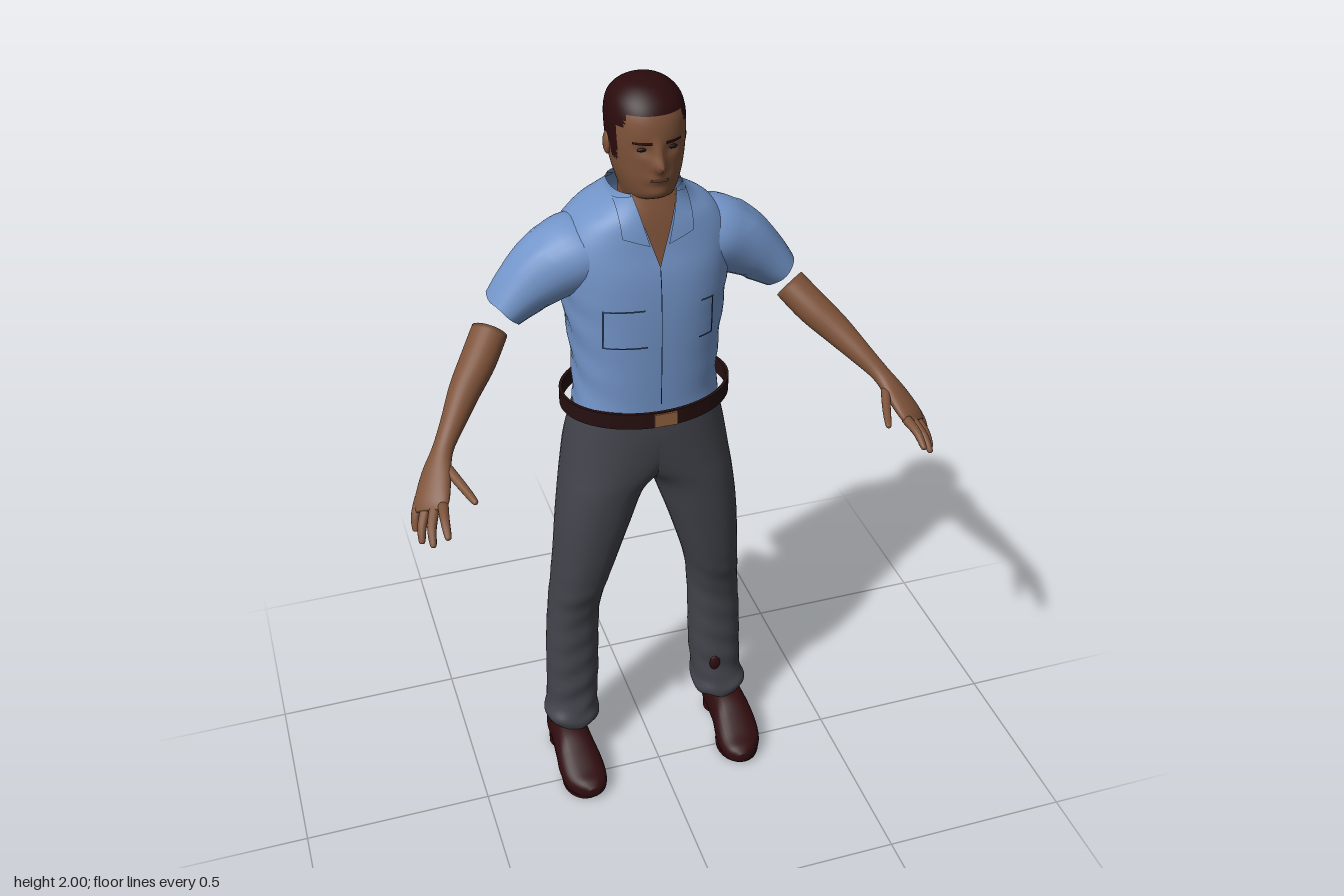
import * as THREE from 'three';

const mat = (name, color, side = THREE.FrontSide) => {
  const m = new THREE.MeshStandardMaterial({ color, side });
  m.name = name;
  return m;
};

// Catmull-Rom interpolation of rows of numbers
function smooth(rows, k) {
  const out = [], last = rows.length - 1;
  const at = i => rows[Math.max(0, Math.min(last, i))];
  for (let i = 0; i < last; i++) for (let s = 0; s < k; s++) {
    const t = s / k;
    out.push(rows[i].map((p1, c) => {
      const p0 = at(i - 1)[c], p2 = at(i + 1)[c], p3 = at(i + 2)[c];
      return 0.5 * (2 * p1 + (p2 - p0) * t + (2 * p0 - 5 * p1 + 4 * p2 - p3) * t * t
        + (3 * p1 - p0 - 3 * p2 + p3) * t * t * t);
    }));
  }
  out.push(rows[last]);
  return out;
}

// Skin through rows [x, y, z, halfWide, halfThick]; wide is the direction of halfWide
function loft(rows, { wide = [1, 0, 0], axis = null, n = 2, seg = 28, k = 5, caps = true } = {}) {
  const rs = smooth(rows, k), pos = [], idx = [], m = rs.length;
  const pow = c => Math.sign(c) * Math.abs(c) ** (2 / n);
  const P = rs.map(r => new THREE.Vector3(r[0], r[1], r[2]));
  rs.forEach((r, i) => {
    const T = axis ? new THREE.Vector3(...axis)
      : P[Math.min(m - 1, i + 1)].clone().sub(P[Math.max(0, i - 1)]).normalize();
    const U = new THREE.Vector3(...wide);
    U.addScaledVector(T, -U.dot(T)).normalize();
    const V = T.clone().cross(U);
    for (let j = 0; j < seg; j++) {
      const a = j / seg * Math.PI * 2;
      pos.push(...P[i].clone().addScaledVector(U, r[3] * pow(Math.cos(a))).addScaledVector(V, r[4] * pow(Math.sin(a))));
    }
  });
  for (let i = 0; i < m - 1; i++) for (let j = 0; j < seg; j++) {
    const a = i * seg + j, b = i * seg + (j + 1) % seg, c = a + seg, d = b + seg;
    idx.push(a, b, c, b, d, c);
  }
  if (caps) {
    pos.push(...P[0], ...P[m - 1]);
    const e = m * seg, f = (m - 1) * seg;
    for (let j = 0; j < seg; j++) {
      const q = (j + 1) % seg;
      idx.push(e, q, j, e + 1, f + j, f + q);
    }
  }
  return geo(pos, idx);
}

function geo(pos, idx) {
  const g = new THREE.BufferGeometry();
  g.setAttribute('position', new THREE.Float32BufferAttribute(pos, 3));
  g.setIndex(idx);
  g.computeVertexNormals();
  return g;
}

// Move vertices by a rule
function reshape(g, fn) {
  const p = g.attributes.position, v = new THREE.Vector3();
  for (let i = 0; i < p.count; i++) {
    v.fromBufferAttribute(p, i);
    fn(v);
    p.setXYZ(i, v.x, v.y, v.z);
  }
  g.computeVertexNormals();
  return g;
}

function mirrored(g) {
  const h = g.clone().scale(-1, 1, 1), ix = h.index.array;
  for (let i = 0; i < ix.length; i += 3) [ix[i], ix[i + 1]] = [ix[i + 1], ix[i]];
  h.computeVertexNormals();
  return h;
}

// Upright section [y, x0, x1, zFront, zBack] to a loft row
const upright = ([y, x0, x1, zf, zb]) => [(x0 + x1) / 2, y, (zf + zb) / 2, (x1 - x0) / 2, (zf - zb) / 2];
const sym = ([y, w, zf, zb]) => upright([y, -w, w, zf, zb]);
const UP = [0, 1, 0];

// Front surface depth of a centred upright loft
function frontOf(rows, n) {
  const rs = smooth(rows, 8);
  return (x, y) => {
    let i = 0;
    while (i < rs.length - 2 && rs[i + 1][1] < y) i++;
    const t = Math.max(0, Math.min(1, (y - rs[i][1]) / (rs[i + 1][1] - rs[i][1])));
    const r = rs[i].map((v, c) => v + (rs[i + 1][c] - v) * t);
    return r[2] + r[4] * Math.max(0, 1 - Math.abs(x / r[3]) ** n) ** (1 / n);
  };
}

// Thin patch laid on a front surface; corners: bottom left, bottom right, top right, top left
function patch(front, [a, b, c, d], off, N = 10) {
  const pos = [], idx = [], mix = (p, q, t) => p + (q - p) * t;
  for (let i = 0; i <= N; i++) for (let j = 0; j <= N; j++) {
    const [x, y] = [0, 1].map(e => mix(mix(a[e], b[e], j / N), mix(d[e], c[e], j / N), i / N));
    pos.push(x, y, front(x, y) + off);
    if (i < N && j < N) {
      const o = i * (N + 1) + j;
      idx.push(o, o + 1, o + N + 1, o + 1, o + N + 2, o + N + 1);
    }
  }
  return geo(pos, idx);
}

export function createModel() {
  const root = new THREE.Group();
  root.name = 'standingMan';
  const D = THREE.DoubleSide;
  const shirt = mat('shirtBlue', 0x7395c9, D), trousers = mat('trouserGrey', 0x43444c, D);
  const skin = mat('skin', 0x7d5239, D), hair = mat('hair', 0x2a0b0d), shoe = mat('shoeLeather', 0x300d10);
  const beltMat = mat('beltLeather', 0x260f0f, D), brass = mat('buckle', 0x90603f);
  const lip = mat('lips', 0x643b2c, D), eye = mat('eyes', 0x1c1210), seam = mat('seam', 0x34486a, D);
  const add = (name, g, m) => {
    const mesh = new THREE.Mesh(g, m);
    mesh.name = name;
    root.add(mesh);
    return mesh;
  };
  const pair = (name, g, m) => {
    add(name + 'Left', g, m);
    add(name + 'Right', mirrored(g), m);
  };
  const bump = (v, x, y, sx, sy, amp) => amp * Math.exp(-(((v.x - x) / sx) ** 2) - ((v.y - y) / sy) ** 2);

  // Shirt body with soft folds and a groove down the back
  const torsoRows = [[1.175, .183, .015, -.25], [1.22, .177, .016, -.258], [1.32, .18, .02, -.268], [1.45, .195, .022, -.28],
    [1.55, .208, .016, -.283], [1.62, .208, .002, -.278], [1.675, .17, -.008, -.262], [1.71, .118, -.016, -.238],
    [1.735, .092, -.024, -.212], [1.752, .084, -.03, -.2]].map(sym);
  const chest = frontOf(torsoRows, 2.5);
  add('shirtBody', reshape(loft(torsoRows, { axis: UP, n: 2.5, seg: 64, caps: false }), v => {
    if (v.z < -.15) v.z += bump(v, 0, 1.5, .03, .16, .014) + Math.sin(v.x * 45 + v.y * 9) * .003;
    v.x *= 1 + .012 * Math.sin(v.y * 60 + v.z * 25) * (v.y < 1.5 ? 1 : 0);
  }), shirt);
  pair('sleeve', reshape(loft([[.10, 1.60, -.13, .10, .07], [.17, 1.585, -.13, .105, .09], [.24, 1.55, -.128, .087, .082],
    [.30, 1.505, -.125, .072, .065], [.345, 1.465, -.122, .064, .049]], { wide: [0, 0, 1], caps: false }), v => {
    if (v.x > .25) v.y += Math.sin(v.z * 70) * .005;
  }), shirt);

  // Open neckline, collar, front seam and pocket stitching
  add('openNeck', patch(chest, [[0, 1.585], [0, 1.585], [.055, 1.752], [-.055, 1.752]], .004), skin);
  pair('collar', patch(chest, [[.022, 1.64], [.085, 1.662], [.088, 1.738], [.052, 1.752]], .01), shirt);
  const strip = (name, x0, y0, x1, y1) => add(name, patch(chest, [[x0, y0], [x1, y0], [x1, y1], [x0, y1]], .004), seam);
  strip('pocketSideRight', -.137, 1.385, -.133, 1.487);
  strip('pocketTopRight', -.137, 1.483, -.04, 1.487);
  strip('pocketBaseRight', -.137, 1.385, -.035, 1.389);
  strip('pocketSideLeft', .13, 1.385, .134, 1.487);
  strip('pocketTopLeft', .1, 1.483, .134, 1.487);
  strip('pocketBaseLeft', .095, 1.385, .134, 1.389);
  strip('frontSeam', -.001, 1.22, .001, 1.585);

  // Trousers: two legs that flow together at the waist
  const legRows = [[.128, .15, .288, -.055, -.208], [.15, .142, .295, -.05, -.214], [.19, .145, .284, -.066, -.21],
    [.28, .138, .28, -.07, -.214], [.4, .135, .276, -.07, -.216], [.52, .13, .266, -.062, -.22], [.6, .118, .258, -.04, -.222],
    [.7, .09, .25, -.02, -.22], [.83, .048, .24, -.004, -.224], [.94, .004, .226, .004, -.24], [1.0, -.07, .217, .008, -.254],
    [1.06, -.14, .208, .011, -.261], [1.12, -.185, .195, .013, -.256], [1.18, -.177, .179, .01, -.247]].map(upright);
  pair('trouserLeg', reshape(loft(legRows, { axis: UP, n: 2.3, seg: 40, caps: false }), v => {
    if (v.y < .65) v.z += Math.sin(v.y * 75 + v.x * 30) * .004 * (1 - v.y);
    if (v.y < .2) v.y += Math.sin(v.x * 60 + v.z * 40) * .006;
  }), trousers);
  const tear = add('trouserTear', new THREE.SphereGeometry(1, 12, 8), shoe);
  tear.scale.set(.016, .026, .008);
  tear.position.set(.19, .25, -.072);

  // Belt ring and buckle
  const ring = new THREE.Shape().absellipse(0, 0, .215, .16, 0, Math.PI * 2);
  ring.holes.push(new THREE.Path().absellipse(0, 0, .207, .152, 0, Math.PI * 2));
  add('belt', new THREE.ExtrudeGeometry(ring, { depth: .042, bevelEnabled: false, curveSegments: 40 })
    .rotateX(-Math.PI / 2).translate(0, 1.167, -.12), beltMat);
  add('buckle', new THREE.BoxGeometry(.058, .036, .008).translate(.005, 1.188, .04), brass);

  // Shoes
  pair('shoe', reshape(loft([[.235, .06, -.203, .015, .03], [.235, .065, -.188, .045, .065], [.234, .067, -.12, .05, .068],
    [.234, .061, -.05, .055, .063], [.232, .047, 0, .061, .05], [.228, .034, .05, .058, .036], [.222, .03, .085, .04, .028],
    [.22, .03, .105, .014, .014]], { axis: [0, 0, 1], n: 2.5 }), v => {
    v.y = Math.max(v.y, v.z < -.04 ? .02 : .006);
  }), shoe);
  pair('heel', new THREE.CylinderGeometry(.046, .046, .03, 24).scale(1, 1, .9).translate(.235, .015, -.155), shoe);
  pair('sole', new THREE.CylinderGeometry(.06, .058, .014, 28).scale(1, 1, 1.25).translate(.229, .007, .02), shoe);
  pair('ankle', new THREE.CylinderGeometry(.045, .05, .12, 20).translate(.232, .14, -.13), shoe);

  // Forearms, hands and fingers
  const across = [-.68, .1, .72];
  pair('forearm', loft([[.378, 1.41, -.125, .045, .04], [.42, 1.364, -.075, .044, .041], [.465, 1.322, -.025, .038, .037],
    [.51, 1.277, .035, .029, .028], [.545, 1.24, .08, .026, .021], [.57, 1.205, .12, .038, .02],
    [.592, 1.168, .165, .045, .017], [.60, 1.152, .185, .038, .01]], { wide: across }), skin);
  const fingers = {
    thumb: [[.55, 1.22, .105], [.523, 1.2, .175], [.503, 1.187, .235]],
    indexFinger: [[.572, 1.168, .19], [.578, 1.16, .24], [.58, 1.138, .283]],
    middleFinger: [[.587, 1.165, .175], [.606, 1.135, .222], [.612, 1.105, .258]],
    ringFinger: [[.602, 1.162, .158], [.624, 1.125, .195], [.632, 1.092, .22]],
    littleFinger: [[.615, 1.162, .14], [.632, 1.13, .16], [.638, 1.097, .176]],
  };
  for (const [name, [a, b, c]] of Object.entries(fingers)) {
    const near = c.map((v, i) => v + (b[i] - v) * .15);
    pair(name, loft([[...a, .013, .012], [...b, .011, .01], [...near, .008, .007], [...c, .003, .003]],
      { wide: across, seg: 12, k: 4 }), skin);
  }

  // Head and neck, sculpted at the front, with hair as its own faces
  const headRows = [[1.57, .07, -.05, -.19], [1.66, .062, -.06, -.185], [1.71, .06, -.055, -.178], [1.735, .061, -.04, -.178],
    [1.752, .063, -.008, -.182], [1.79, .075, .002, -.192], [1.83, .084, .003, -.203], [1.88, .089, .003, -.211],
    [1.93, .089, -.004, -.211], [1.965, .077, -.024, -.197], [1.99, .047, -.058, -.162], [2.0, .008, -.1, -.12]].map(sym);
  const face = frontOf(headRows, 2.1);
  const head = reshape(loft(headRows, { axis: UP, n: 2.1, seg: 80, k: 6 }), v => {
    if (v.z < -.06) return;
    v.z += bump(v, 0, 1.832, .013, .016, .026) + bump(v, 0, 1.858, .009, .024, .012) + bump(v, 0, 1.8, .026, .012, .006)
      + bump(v, 0, 1.763, .025, .014, .006)
      - bump(v, .034, 1.868, .016, .011, .008) - bump(v, -.034, 1.868, .016, .011, .008);
  });
  const hairline = z => z > -.035 ? 1.942 : z > -.055 ? 1.915 : z > -.085 ? 1.835 : z > -.13 ? 1.865 : z > -.16 ? 1.81 : 1.785;
  const p = head.attributes.position, ix = head.index.array, lists = [[], []];
  for (let i = 0; i < ix.length; i += 3) {
    const t = [ix[i], ix[i + 1], ix[i + 2]];
    const y = t.reduce((s, q) => s + p.getY(q), 0) / 3, z = t.reduce((s, q) => s + p.getZ(q), 0) / 3;
    lists[y > hairline(z) ? 1 : 0].push(...t);
  }
  head.setIndex([...lists[0], ...lists[1]]);
  head.addGroup(0, lists[0].length, 0);
  head.addGroup(lists[0].length, lists[1].length, 1);
  add('head', head, [skin, hair]);
  pair('ear', new THREE.SphereGeometry(1, 14, 10).scale(.009, .027, .017).translate(.088, 1.855, -.105), skin);
  pair('eye', new THREE.SphereGeometry(1, 12, 8).scale(.013, .005, .005).translate(.034, 1.869, face(.034, 1.869) - .007), eye);
  pair('eyebrow', patch(face, [[.016, 1.882], [.056, 1.883], [.056, 1.888], [.016, 1.889]], .003), hair);
  add('mouth', patch(face, [[-.022, 1.796], [.022, 1.796], [.02, 1.804], [-.02, 1.804]], .0075), lip);

  return root;
}
